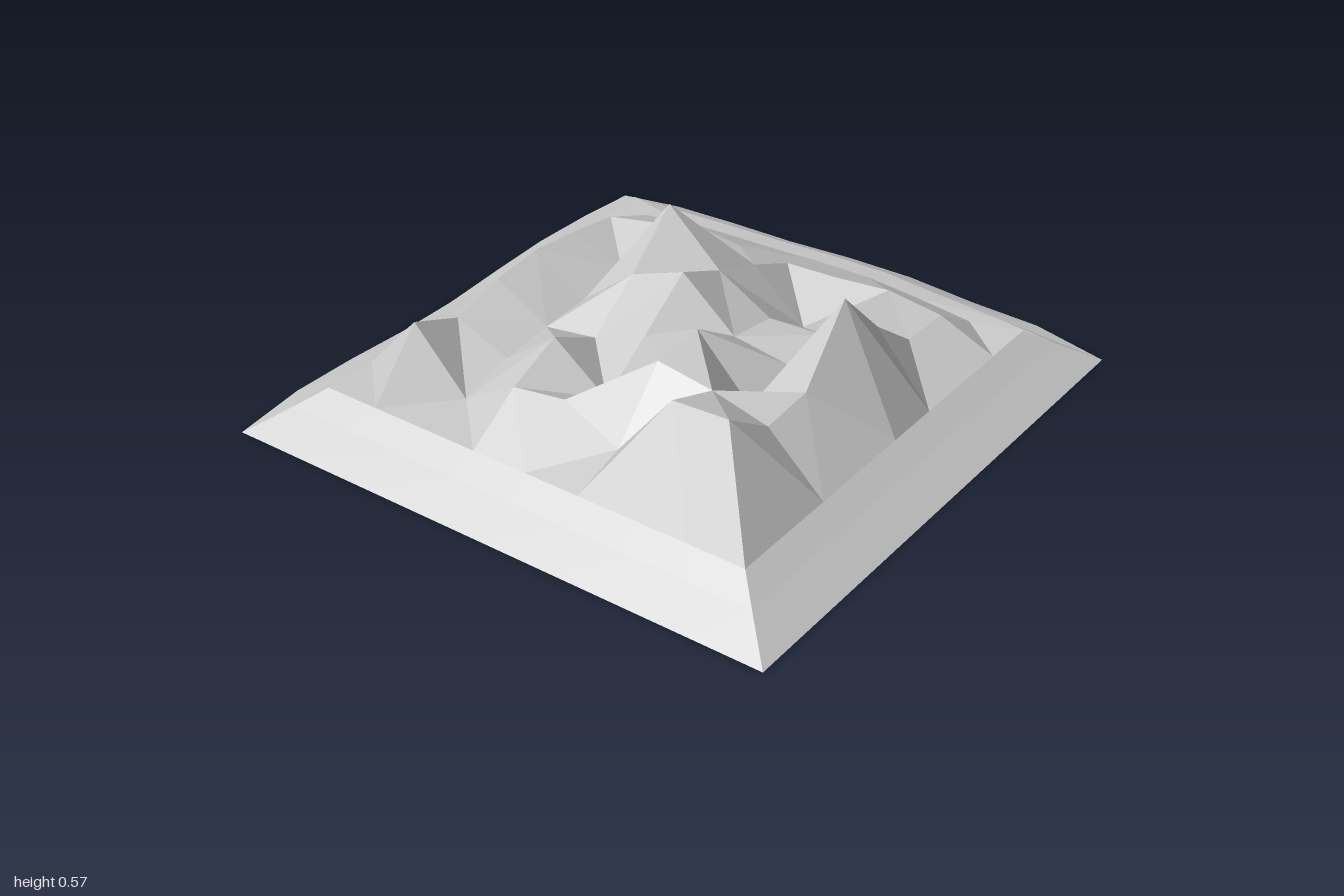
import * as THREE from 'three';

const STEP = 0.2, N = 9, HALF = 0.8;

// Heights of the central plateau: rows run back to front, columns along x
const heights = [
  [.145, .14, .14, .14, .14, .14, .14, .14, .145],
  [.145, .36, .28, .33, .35, .33, .30, .22, .11],
  [.145, .15, .20, .22, .23, .25, .34, .25, .12],
  [.145, .27, .35, .25, .39, .56, .29, .23, .13],
  [.145, .30, .20, .33, .465, .38, .31, .225, .14],
  [.145, .20, .41, .425, .30, .27, .14, .235, .145],
  [.145, .45, .38, .22, .27, .28, .27, .255, .13],
  [.145, .46, .33, .345, .575, .38, .235, .23, .11],
  [.145, .145, .145, .145, .145, .145, .145, .145, .145],
];

// Direction in which each square cell is split into two triangles
const splits = [
  '/\\/\\/\\/\\',
  '\\/\\/\\/\\/',
  '/\\/\\\\//\\',
  '/\\/\\\\\\/\\',
  '\\\\/\\/\\/\\',
  '\\\\/\\\\/\\/',
  '//\\\\\\\\/\\',
  '/\\/\\\\/\\/',
];

// Wavy lower rim on the +x side, back to front
const rightRim = [0.005, .035, .045, .05, .065, .07, .055, .05, 0.005];

function makeMesh(name, points, index, material) {
  const g = new THREE.BufferGeometry();
  g.setAttribute('position', new THREE.Float32BufferAttribute(points, 3));
  g.setIndex(index);
  const flat = g.toNonIndexed();
  flat.computeVertexNormals();
  const mesh = new THREE.Mesh(flat, material);
  mesh.name = name;
  return mesh;
}

// Faceted mountains on a square grid
function makePeaks(material) {
  const points = [], index = [];
  heights.forEach((row, r) => row.forEach((y, c) => points.push(c * STEP - HALF, y, r * STEP - HALF)));
  splits.forEach((row, r) => [...row].forEach((split, c) => {
    const a = r * N + c, b = a + 1, d = a + N, e = d + 1;
    if (split === '/') index.push(a, d, b, b, d, e);
    else index.push(a, d, e, a, e, b);
  }));
  return makeMesh('mountains', points, index, material);
}

// Sloping skirt around the plateau, made of three square rings
function makeSkirt(material) {
  const last = N - 1, loop = [];
  for (let i = 0; i < last; i++) loop.push([i, 0]);
  for (let i = 0; i < last; i++) loop.push([last, i]);
  for (let i = last; i > 0; i--) loop.push([i, last]);
  for (let i = last; i > 0; i--) loop.push([0, i]);

  const points = [], index = [], count = loop.length;
  [1, 1.1, 1.25].forEach((scale, ring) => loop.forEach(([c, r]) => {
    const top = heights[r][c];
    let rim = 0.005;
    if (c === last) rim = rightRim[r];
    else if (r === 0 && c > 0) rim = 0.02 + 0.012 * Math.sin(c * 1.3);
    // the +x side bulges a little halfway down
    const bulge = c === last && r > 0 && r < last ? 0.02 : 0;
    const y = [top, top + (rim - top) * 0.42 + bulge, rim][ring];
    points.push((c * STEP - HALF) * scale, y, (r * STEP - HALF) * scale);
  }));
  for (let ring = 0; ring < 2; ring++) {
    for (let i = 0; i < count; i++) {
      const j = (i + 1) % count, a = ring * count + i, b = ring * count + j;
      index.push(a, b, b + count, a, b + count, a + count);
    }
  }
  return makeMesh('foothills', points, index, material);
}

export function createModel() {
  const group = new THREE.Group();
  group.name = 'mountainTerrain';
  const material = new THREE.MeshStandardMaterial({
    color: 0xcccccc, flatShading: true, side: THREE.DoubleSide,
  });
  group.add(makePeaks(material), makeSkirt(material));
  return group;
}
